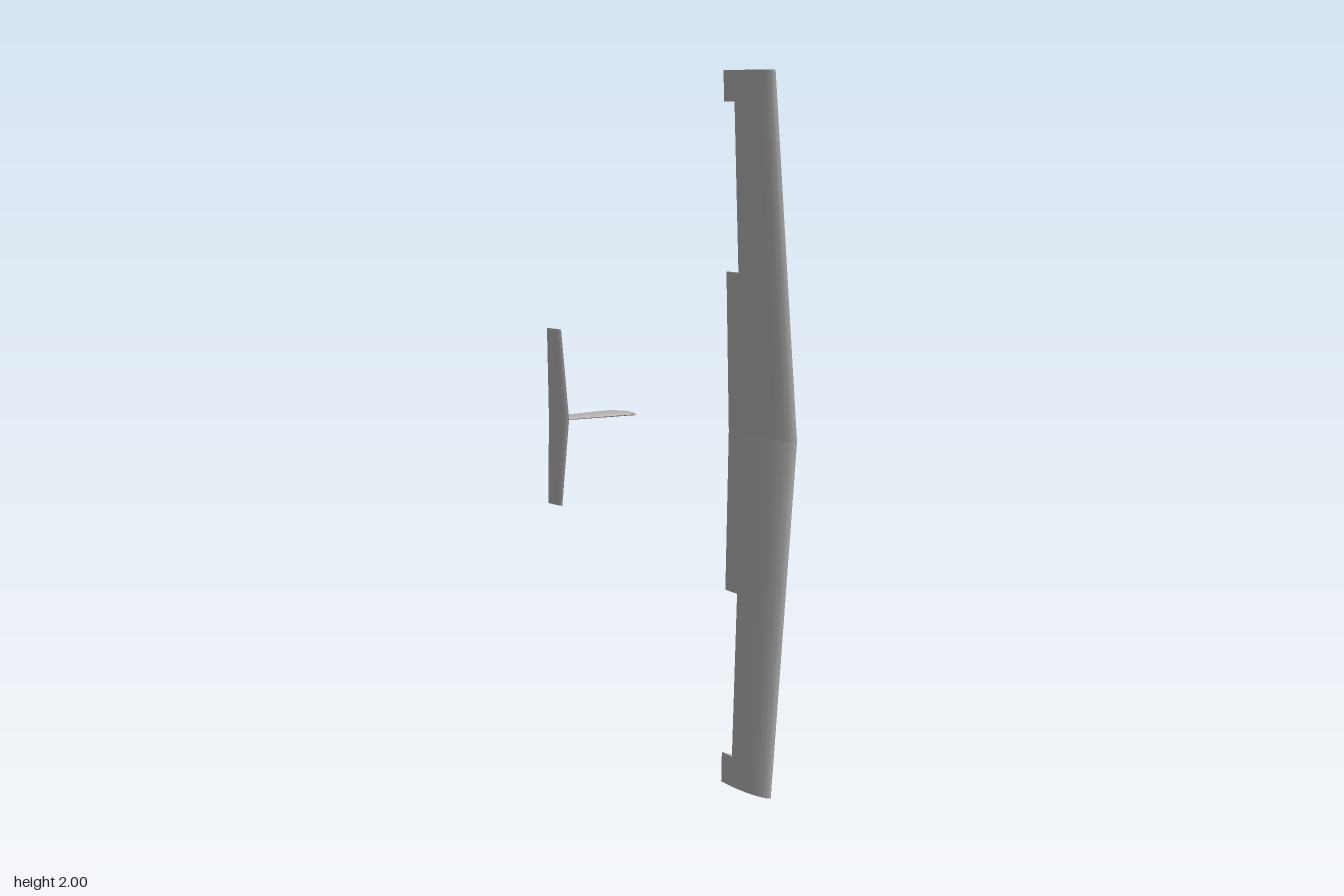
import * as THREE from 'three';
import { toCreasedNormals } from 'three/addons/utils/BufferGeometryUtils.js';

// Cambered wing profile: [chord fraction from trailing edge, height / chord]
const CUT = 0.25;
const UPPER = [[0, 0], [0.12, 0.028], [CUT, 0.054], [0.4, 0.08], [0.6, 0.1], [0.75, 0.103],
  [0.87, 0.092], [0.95, 0.073], [0.985, 0.055], [1, 0.035]];
const LOWER = [[0.985, 0.018], [0.95, 0.006], [0.85, -0.006], [0.6, -0.015], [0.4, -0.015],
  [CUT, -0.012], [0.12, -0.007], [0, -0.003]];

// Thin symmetric tail profile, half thickness / chord
const HALF = [[0, 0.002], [0.25, 0.022], [0.5, 0.041], [0.7, 0.048], [0.85, 0.041], [0.95, 0.025], [1, 0]];
const TAIL = [...HALF, ...HALF.slice(0, -1).reverse().map(([t, h]) => [t, -h])];

// Skin a row of closed cross-sections and cap the ends
function loft(sections, flip = false, capStart = true) {
  const pos = [];
  const tri = (a, b, c) => pos.push(...a, ...(flip ? c : b), ...(flip ? b : c));
  const n = sections[0].length;
  for (let i = 0; i < sections.length - 1; i++) {
    for (let j = 0; j < n; j++) {
      const k = (j + 1) % n, s = sections[i], e = sections[i + 1];
      tri(s[j], s[k], e[k]);
      tri(s[j], e[k], e[j]);
    }
  }
  const cap = (s, reverse) => {
    const c = [0, 1, 2].map((a) => s.reduce((sum, p) => sum + p[a], 0) / n);
    for (let j = 0; j < n; j++) {
      const p = s[j], q = s[(j + 1) % n];
      if (reverse) tri(c, q, p); else tri(c, p, q);
    }
  };
  if (capStart) cap(sections[0], true);
  cap(sections[sections.length - 1], false);
  const geo = new THREE.BufferGeometry();
  geo.setAttribute('position', new THREE.Float32BufferAttribute(pos, 3));
  return toCreasedNormals(geo, 0.8);
}

// Wing section at span fraction s (0 root, 1 tip); cut sections stop at the aileron bay
function wingSection(s, side, cut) {
  const te = THREE.MathUtils.lerp(0.145, 0.177, s);
  const chord = THREE.MathUtils.lerp(0.424, 0.385, s) - te;
  const z = THREE.MathUtils.lerp(-0.086, -0.031, s);
  const point = (list) => ([t, h]) => {
    const [u, v] = cut && t < CUT ? list.find((p) => p[0] === CUT) : [t, h];
    return [te + u * chord, 1 + side * s, z + v * chord];
  };
  return [...UPPER.map(point(UPPER)), ...LOWER.map(point(LOWER))];
}

export function createModel() {
  const group = new THREE.Group();
  const grey = new THREE.MeshStandardMaterial({ color: 0xb4b4b4 });
  grey.name = 'plain grey';
  const add = (name, geo) => {
    const mesh = new THREE.Mesh(geo, grey);
    mesh.name = name;
    group.add(mesh);
  };

  // Wing halves with dihedral, taper and an open aileron bay
  const stations = [[0, false], [0.45, false], [0.45, true], [0.915, true], [0.915, false], [1, false]];
  for (const side of [1, -1]) {
    const sections = stations.map(([s, cut]) => wingSection(s, side, cut));
    add(side > 0 ? 'upperWingHalf' : 'lowerWingHalf', loft(sections, side < 0, false));
  }

  // Tailplane: [span position, trailing edge, leading edge]
  const tailplane = [[0.74, -0.428, -0.363], [1, -0.422, -0.329], [1.26, -0.428, -0.363]];
  add('tailplane', loft(tailplane.map(([y, te, le]) =>
    TAIL.map(([t, h]) => [te + t * (le - te), y, 0.104 + h * (le - te)]))));

  // Fin: [height position, trailing edge, leading edge]
  const fin = [[0.104, -0.416, -0.329], [-0.112, -0.4, -0.278]];
  add('fin', loft(fin.map(([z, te, le]) =>
    TAIL.map(([t, h]) => [te + t * (le - te), 1 + h * (le - te), z]))));

  return group;
}
